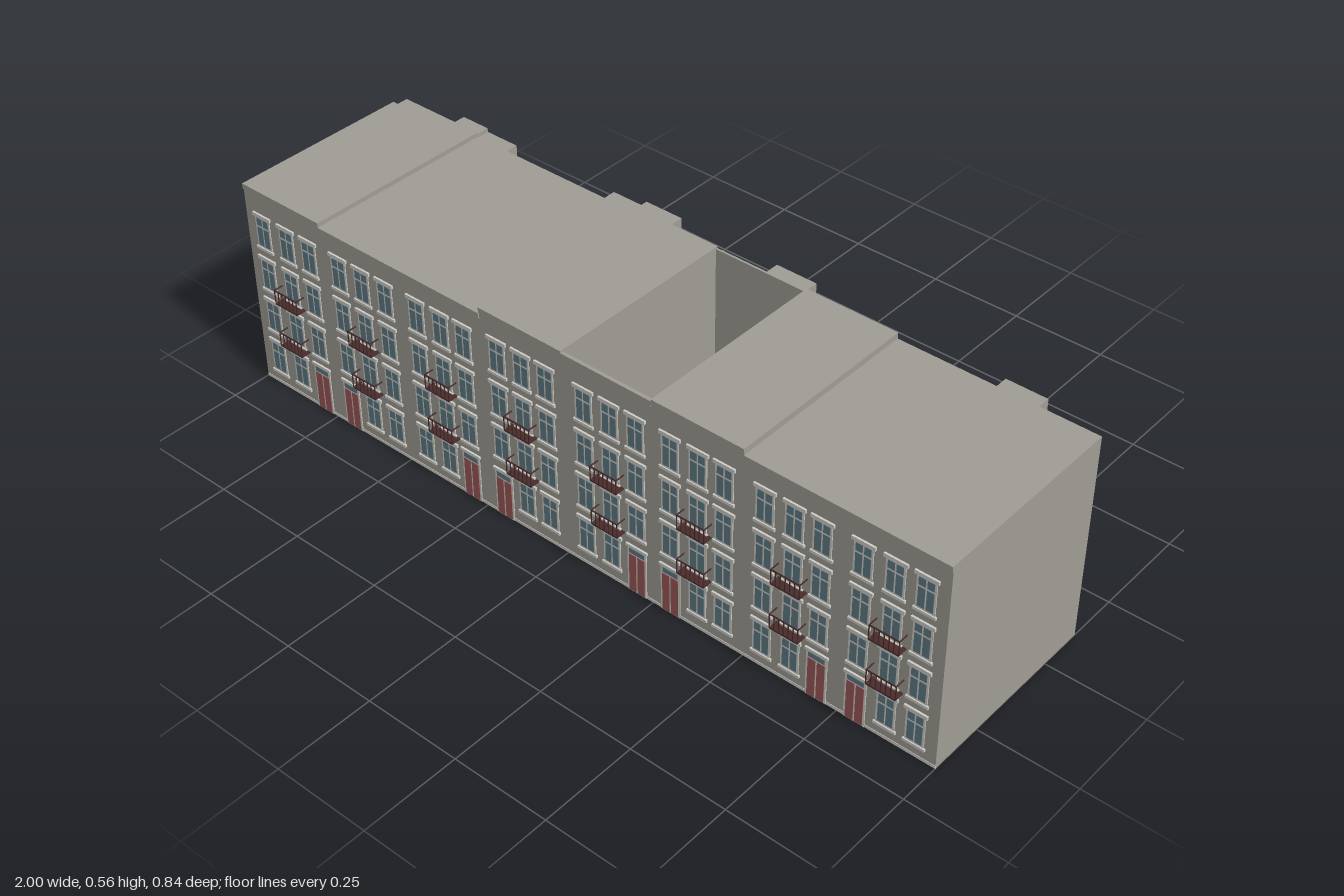
import * as THREE from 'three';

const mat = (name, color) => {
  const m = new THREE.MeshStandardMaterial({ color });
  m.name = name;
  return m;
};

export function createModel() {
  const wall = mat('stone wall', 0xa09d95);
  const trim = mat('pale trim', 0xcfcdc6);
  const glass = mat('window glass', 0x5f7a85);
  const red = mat('door red', 0x9a5656);
  const iron = mat('balcony iron', 0x4a2c2c);

  const model = new THREE.Group();
  model.name = 'terrace';
  const unit = new THREE.BoxGeometry(1, 1, 1);

  // Box given by its minimum and maximum on each axis
  const box = (parent, name, material, x0, x1, y0, y1, z0, z1) => {
    const m = new THREE.Mesh(unit, material);
    m.name = name;
    m.scale.set(x1 - x0, y1 - y0, z1 - z0);
    m.position.set((x0 + x1) / 2, (y0 + y1) / 2, (z0 + z1) / 2);
    parent.add(m);
    return m;
  };
  const group = (name, x = 0, y = 0, z = 0) => {
    const g = new THREE.Group();
    g.name = name;
    g.position.set(x, y, z);
    model.add(g);
    return g;
  };

  const FRONT = 0.393, BACK = -0.115;

  // Front sash window: frame, two lower panes, two upper panes, lintel and sill
  const frontWindow = (x, y) => {
    const g = group('frontWindow', x, y, FRONT), w = 0.024, h = 0.088;
    box(g, 'frame', trim, -w, w, 0, h, -0.002, 0.002);
    for (const s of [-1, 1]) {
      const a = s < 0 ? -0.019 : 0.002, b = s < 0 ? -0.002 : 0.019;
      box(g, 'lowerPane', glass, a, b, 0.006, 0.056, 0, 0.0028);
      box(g, 'upperPane', glass, a, b, 0.061, 0.081, 0, 0.0028);
    }
    box(g, 'lintel', trim, -w - 0.005, w + 0.005, h - 0.003, h + 0.006, -0.001, 0.005);
    box(g, 'sill', trim, -w - 0.004, w + 0.004, -0.006, 0.001, -0.001, 0.005);
  };

  // Double door with a fanlight
  const door = (x) => {
    const g = group('frontDoor', x, 0, FRONT);
    box(g, 'doorFrame', trim, -0.027, 0.027, 0, 0.128, -0.002, 0.002);
    box(g, 'leftLeaf', red, 0.002, 0.022, 0.002, 0.105, 0, 0.003);
    box(g, 'rightLeaf', red, -0.022, -0.002, 0.002, 0.105, 0, 0.003);
    box(g, 'fanlight', glass, -0.021, 0.021, 0.109, 0.122, 0, 0.003);
    box(g, 'doorHood', trim, -0.03, 0.03, 0.126, 0.133, -0.001, 0.005);
  };

  // Railed balcony
  const balcony = (x, y) => {
    const g = group('balcony', x, y, FRONT), w = 0.037, d = 0.026;
    box(g, 'slab', iron, -w, w, 0, 0.004, 0, d);
    box(g, 'topRail', iron, -w, w, 0.038, 0.041, d - 0.002, d);
    for (const s of [-1, 1]) {
      const a = s * w - 0.001;
      box(g, 'sideRail', iron, a, a + 0.002, 0.038, 0.041, 0, d);
    }
    for (let i = 0; i < 7; i++) {
      const a = -w + (i * 2 * w) / 6;
      box(g, 'bar', iron, a - 0.0011, a + 0.0011, 0.003, 0.039, d - 0.002, d);
    }
  };

  // Plain rear window
  const backWindow = (x, y, z = BACK, w = 0.023, h = 0.084) => {
    const g = group('backWindow', x, y, z);
    box(g, 'frame', trim, -w, w, 0, h, -0.003, 0.001);
    box(g, 'pane', glass, -w + 0.004, w - 0.004, 0.004, h - 0.004, -0.004, 0);
  };

  // House bodies; the fifth is an open shell without a roof
  const edges = [-1, -0.745, -0.495, -0.24, 0, 0.25, 0.495, 0.745, 1];
  const tops = [0.556, 0.544, 0.544, 0.56, 0.555, 0.56, 0.544, 0.544];
  const rows = [0.037, 0.157, 0.277, 0.397];
  const columns = [
    [-0.945, -0.865, -0.79], [-0.69, -0.615, -0.54], [-0.44, -0.365, -0.295], [-0.192, -0.12, -0.05],
    [0.06, 0.133, 0.205], [0.3, 0.375, 0.445], [0.55, 0.625, 0.695], [0.795, 0.872, 0.945],
  ];
  const doors = [2, 0, 2, 0, 2, 0, 2, 0];
  for (let i = 0; i < 8; i++) {
    const a = edges[i], b = edges[i + 1], top = tops[i];
    if (i === 4) {
      box(model, 'openHouseFront', wall, a, b, 0, top, FRONT - 0.006, FRONT);
      box(model, 'openHouseBack', wall, a, b, 0, top, BACK, BACK + 0.006);
      box(model, 'openHouseFloor', wall, a, b, 0, 0.008, BACK, FRONT);
    } else if (i === 0) {
      box(model, 'houseBody', wall, -0.985, b, 0, top, BACK, FRONT);
      box(model, 'houseEnd', wall, a, -0.985, 0, top, -0.085, FRONT);
    } else {
      box(model, 'houseBody', wall, a, b, 0, top, BACK, FRONT);
    }
    box(model, 'cornice', wall, a, b, top - 0.014, top, FRONT - 0.004, FRONT + 0.003);
    box(model, 'plinth', trim, a, b, 0, 0.008, FRONT - 0.002, FRONT + 0.001);

    // Front openings
    const lift = i === 3 ? 0.008 : i === 4 || i === 5 ? 0.004 : 0;
    columns[i].forEach((x, c) => rows.forEach((y, r) => {
      if (r === 0 && c === doors[i]) door(x);
      else frontWindow(x, y + lift);
    }));
    balcony(columns[i][1], 0.15 + lift);
    balcony(columns[i][1], 0.272 + lift);
  }

  // Full-height rear stair towers: x range, top
  const towers = [
    [-0.825, -0.745, 0.552], [-0.745, -0.65, 0.542], [-0.34, -0.24, 0.542],
    [-0.24, -0.135, 0.558], [0.14, 0.25, 0.555], [0.745, 0.85, 0.542],
  ];
  for (const [a, b, top] of towers) box(model, 'rearTower', wall, a, b, 0, top, -0.15, BACK + 0.004);

  // Low rear extensions with a pair of windows each
  for (const [a, b] of [[-0.835, -0.645], [-0.34, -0.135], [0.14, 0.335], [0.66, 0.85]]) {
    box(model, 'rearExtension', wall, a, b, 0, 0.138, -0.275, BACK);
    const mid = (a + b) / 2;
    for (const s of [-1, 1]) {
      if (a !== 0.14 || s < 0) backWindow(mid + s * 0.048, 0.035, -0.275, 0.022, 0.07);
    }
  }
  box(model, 'extensionUpstand', wall, 0.66, 0.755, 0, 0.166, -0.168, BACK);
  box(model, 'rearShed', wall, 0.25, 0.335, 0, 0.1, -0.418, -0.275);
  backWindow(0.292, 0.025, -0.418, 0.02, 0.058);

  // Rear windows
  const rear = [-0.95, -0.87, -0.6, -0.53, -0.45, -0.38, -0.1, -0.035, 0.04, 0.105,
    0.385, 0.46, 0.54, 0.615, 0.895, 0.965];
  for (const x of rear) for (const y of rows) backWindow(x, y + 0.005);

  return model;
}
